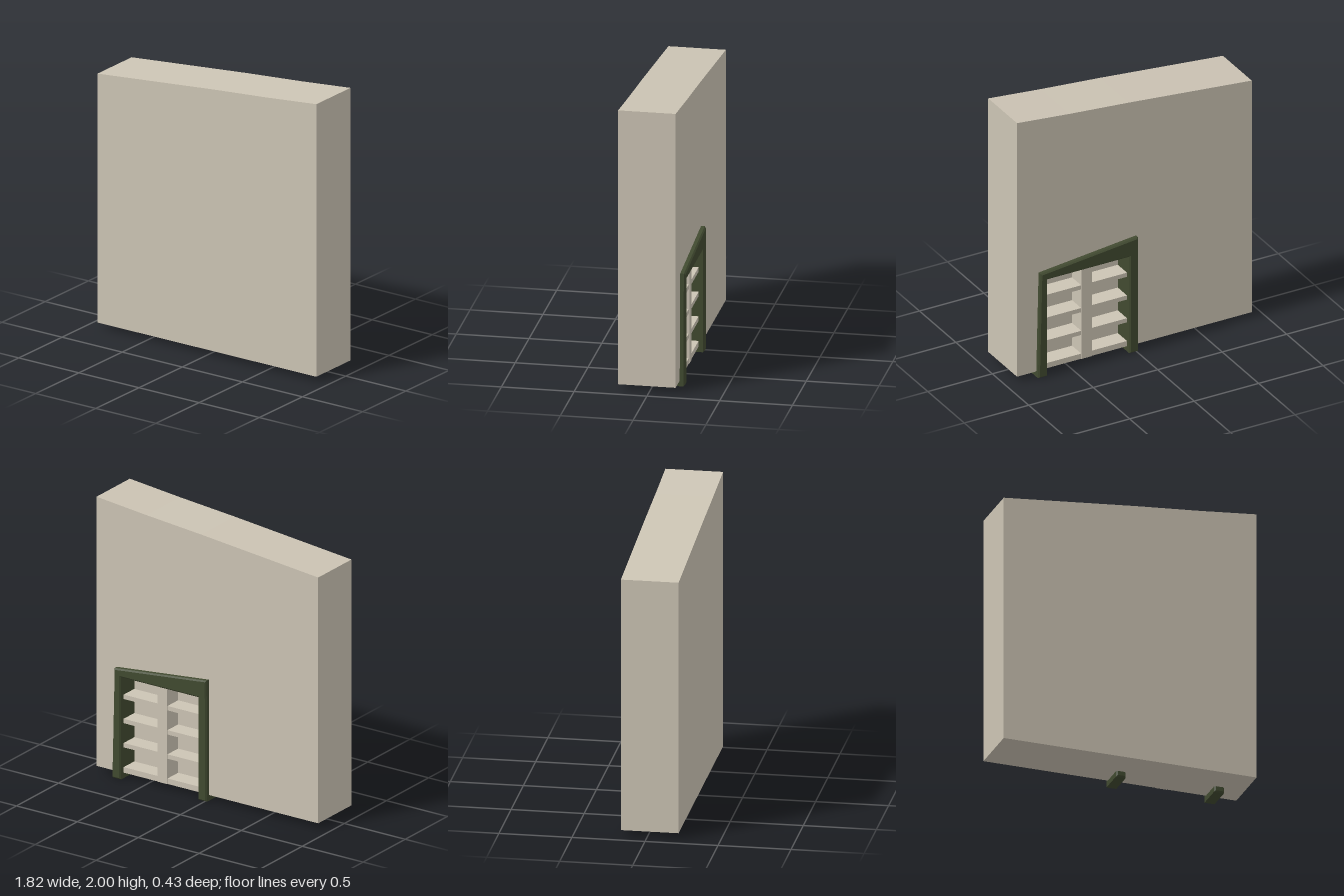
import * as THREE from 'three';

const wallMat = new THREE.MeshStandardMaterial({ color: 0xccc4b4 });
const frameMat = new THREE.MeshStandardMaterial({ color: 0x414a30 });

const WALL_FRONT = 0.215, WALL_BACK = -0.18, NICHE_BACK = -0.05;
const FRAME_BACK = -0.215, FRAME_FRONT = -0.01;
const BASE = 0.04;

function shapeOf(points) {
  return new THREE.Shape(points.map(([x, y]) => new THREE.Vector2(x, y)));
}

// Extrudes an outline so that it fills z0..z1, with an optional inset bevel
function slab(name, points, z0, z1, material, bevel = 0) {
  const geometry = new THREE.ExtrudeGeometry(shapeOf(points), {
    depth: z1 - z0 - 2 * bevel,
    bevelEnabled: bevel > 0,
    bevelThickness: bevel,
    bevelSize: bevel,
    bevelOffset: -bevel,
    bevelSegments: 1,
  });
  geometry.translate(0, 0, z0 + bevel);
  const mesh = new THREE.Mesh(geometry, material);
  mesh.name = name;
  return mesh;
}

function box(name, x0, x1, y0, y1, z0, z1) {
  const mesh = new THREE.Mesh(new THREE.BoxGeometry(x1 - x0, y1 - y0, z1 - z0), wallMat);
  mesh.position.set((x0 + x1) / 2, (y0 + y1) / 2, (z0 + z1) / 2);
  mesh.name = name;
  return mesh;
}

export function createModel() {
  const model = new THREE.Group();
  model.name = 'wallWithShelfNiche';

  // Wall with a gently rising top; its rear layer is notched for the niche
  const top = [[0.91, 2], [0.5, 1.96], [0.05, 1.922], [-0.91, 1.83]];
  const left = [-0.91, BASE], right = [0.91, BASE];
  const notch = [[0.02, BASE], [0.02, 0.77], [0.72, 0.77], [0.72, BASE]];
  model.add(slab('wallFront', [left, right, ...top], NICHE_BACK, WALL_FRONT, wallMat));
  model.add(slab('wallRear', [left, ...notch, right, ...top], WALL_BACK, NICHE_BACK, wallMat));

  // Door-like surround: two posts with feet below the wall and a sloping lintel
  model.add(slab('frame', [
    [-0.015, 0], [0.055, 0], [0.055, 0.745], [0.69, 0.745],
    [0.69, 0], [0.762, 0], [0.743, 0.8], [-0.012, 0.88],
  ], FRAME_BACK, FRAME_FRONT, frameMat, 0.01));

  // Shelves on both sides of a central upright
  const shelving = new THREE.Group();
  shelving.name = 'shelving';
  shelving.add(box('upright', 0.33, 0.41, BASE, 0.76, WALL_BACK, NICHE_BACK));
  for (const [x0, x1] of [[0.04, 0.33], [0.41, 0.705]]) {
    for (let i = 0; i < 4; i++) {
      const y = 0.08 + i * 0.176;
      shelving.add(box('shelf', x0, x1, y - (i ? 0.032 : 0.04), y, WALL_BACK + 0.004, NICHE_BACK));
    }
  }
  model.add(shelving);
  return model;
}
